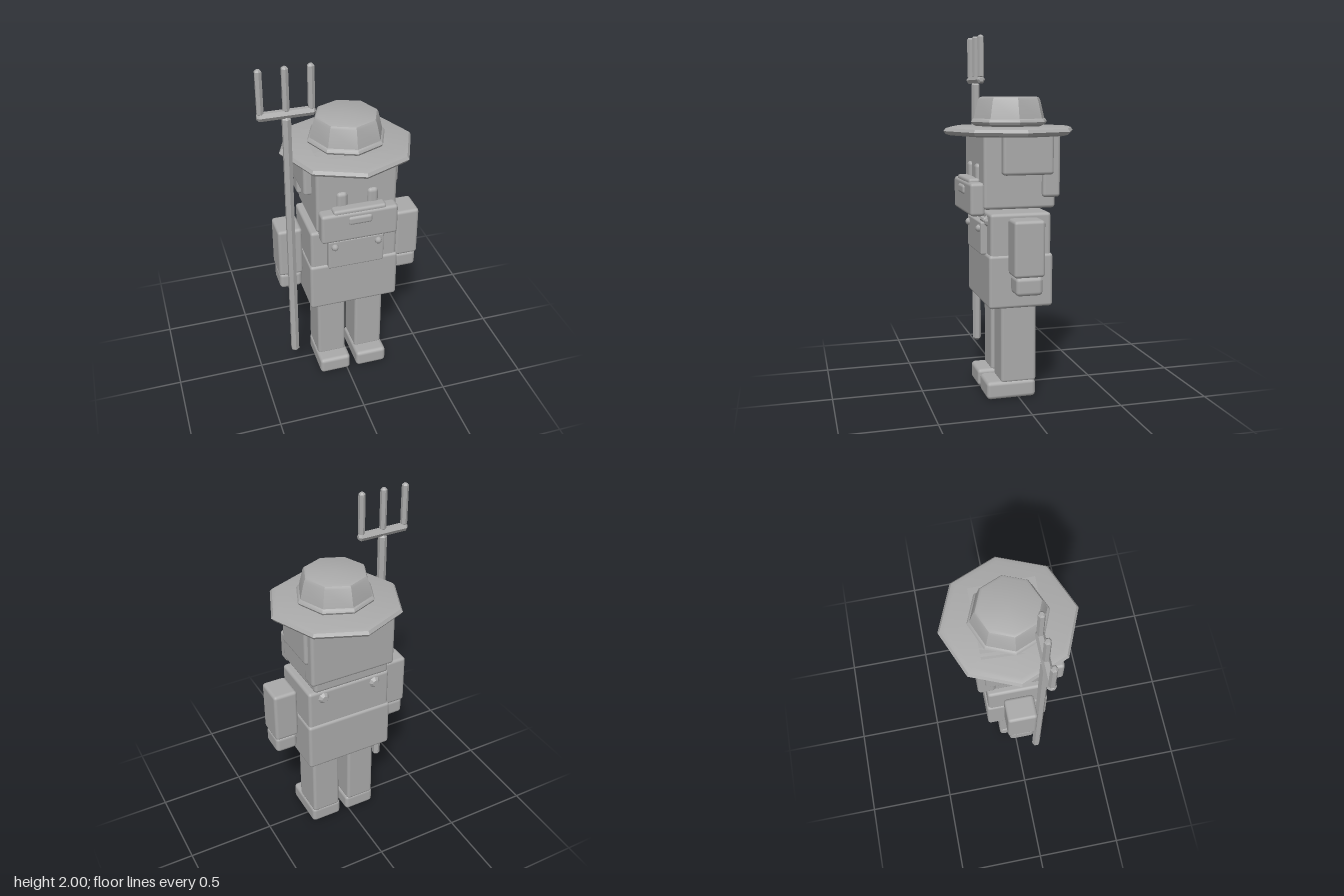
import * as THREE from 'three';
import { RoundedBoxGeometry } from 'three/addons/geometries/RoundedBoxGeometry.js';
import { toCreasedNormals } from 'three/addons/utils/BufferGeometryUtils.js';

const CX = 0.04; // middle of the figure, left of the fork

export function createModel() {
  const model = new THREE.Group();
  model.name = 'farmer';
  const grey = new THREE.MeshStandardMaterial({ color: 0xaaaaaa });
  grey.name = 'plain grey';

  const add = (name, geometry, x = 0, y = 0, z = 0) => {
    const mesh = new THREE.Mesh(geometry, grey);
    mesh.name = name;
    mesh.position.set(x, y, z);
    model.add(mesh);
    return mesh;
  };
  // Bevelled box given by its limits on each axis
  const box = (name, x0, x1, y0, y1, z0, z1, bevel = 0.018) =>
    add(name, new RoundedBoxGeometry(x1 - x0, y1 - y0, z1 - z0, 2, bevel),
      (x0 + x1) / 2, (y0 + y1) / 2, (z0 + z1) / 2);
  // Low-sided rod with tapered ends, standing from y0 to y1
  const rod = (name, r, length, x, y, z, sides = 6) => {
    const h = length / 2, e = r * 0.5;
    const profile = [[0, -h], [r * 0.55, -h], [r, -h + e], [r, h - e], [r * 0.55, h], [0, h]];
    return add(name, turned(profile, sides), x, y, z);
  };
  const turned = (profile, sides) => toCreasedNormals(
    new THREE.LatheGeometry(profile.map(p => new THREE.Vector2(...p)), sides), 0.5);

  // Legs, feet, arms, hands, straps, eyes: one of each per side
  for (const [side, s] of [['left', 1], ['right', -1]]) {
    const pair = (name, inner, outer, ...rest) => {
      const a = CX + s * inner, b = CX + s * outer;
      return box(side + name, Math.min(a, b), Math.max(a, b), ...rest);
    };
    pair('Leg', 0.03, 0.2, 0.09, 0.54, -0.1, 0.1);
    pair('Foot', 0.02, 0.206, 0.003, 0.103, -0.097, 0.18, 0.022);
    pair('Arm', 0.276, 0.414, 0.725, 1.025, -0.083, 0.084);
    pair('Hand', 0.282, 0.41, 0.627, 0.727, -0.072, 0.073, 0.022);
    pair('Sideburn', 0.2, 0.268, 1.245, 1.47, -0.175, 0.105);
    pair('Eye', 0.055, 0.116, 1.17, 1.3, 0.17, 0.218, 0.022);

    // Strap running through the shoulders, its ends showing front and back
    const strap = rod(side + 'Strap', 0.034, 0.365, CX + s * 0.158, 0.995, 0, 8);
    strap.rotation.x = Math.PI / 2;
    const clip = rod(side + 'StrapClip', 0.015, 0.09, CX + s * 0.13, 1.0, 0.178, 8);
    clip.rotation.z = Math.PI / 2;
    add(side + 'Button', new THREE.SphereGeometry(0.021, 8, 6), CX + s * 0.125, 0.952, 0.204);
  }

  // Body
  box('trousers', -0.22, 0.295, 0.527, 0.82, -0.176, 0.18);
  box('shirt', -0.212, 0.287, 0.76, 1.042, -0.166, 0.17);
  box('bib', -0.122, 0.2, 0.81, 0.99, 0.15, 0.204, 0.01);

  // Head
  box('head', -0.186, 0.264, 1.062, 1.495, -0.196, 0.2);
  box('backHair', -0.21, 0.29, 1.123, 1.47, -0.216, -0.118);
  box('beard', -0.177, 0.252, 1.028, 1.205, 0.19, 0.27);
  box('moustache', -0.108, 0.186, 1.19, 1.223, 0.2, 0.264, 0.015);
  box('mouth', -0.03, 0.105, 1.13, 1.182, 0.245, 0.28, 0.016);

  // Eight-sided hat
  add('hatBrim', turned([[0, 1.447], [0.33, 1.447], [0.358, 1.455], [0.37, 1.471],
    [0.358, 1.487], [0.33, 1.495], [0, 1.495]], 8), CX);
  add('hatBand', turned([[0, 1.495], [0.19, 1.497], [0.21, 1.508], [0.217, 1.52],
    [0.21, 1.533], [0.195, 1.543], [0, 1.543]], 8), CX);
  add('hatCrown', turned([[0, 1.53], [0.204, 1.53], [0.178, 1.637], [0.17, 1.65],
    [0.155, 1.656], [0, 1.656]], 8), CX);

  // Fork
  const forkX = -0.308, forkZ = 0.11;
  rod('forkShaft', 0.025, 1.55, forkX, 0.96, forkZ);
  rod('forkCrossbar', 0.024, 0.3, forkX, 1.75, forkZ).rotation.z = Math.PI / 2;
  for (const dx of [-0.131, 0, 0.131])
    rod('forkTine', 0.019, 0.24, forkX + dx, 1.88, forkZ);

  return model;
}
